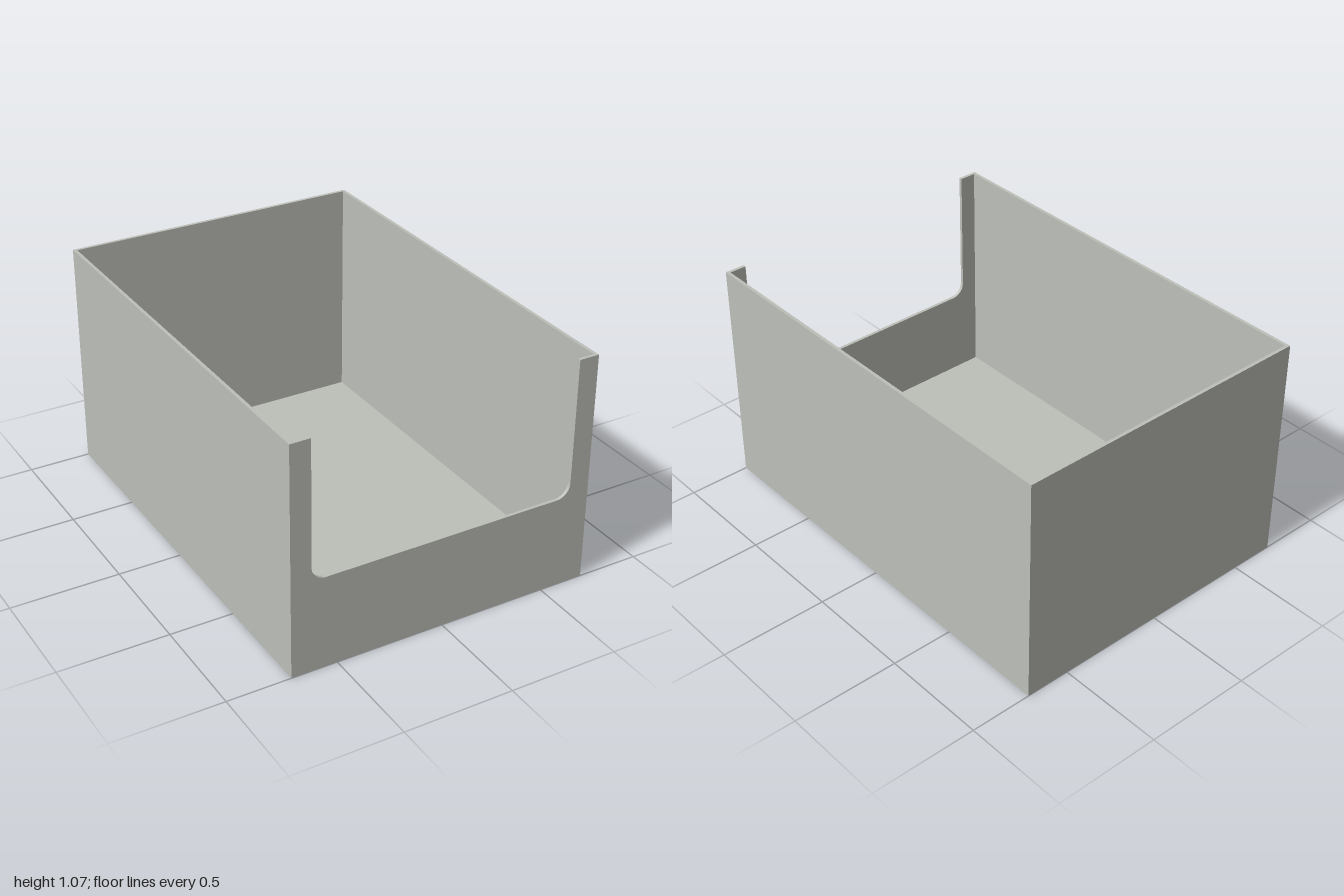
import * as THREE from 'three';

const W = 1.42, H = 1.07, D = 2; // overall size
const T = 0.015;                 // wall thickness
const B = 0.02;                  // base thickness

export function createModel() {
  const group = new THREE.Group();
  const grey = new THREE.MeshStandardMaterial({ color: 0xbdbfb9 });
  grey.name = 'light grey';

  const add = (name, geometry, x, y, z) => {
    const mesh = new THREE.Mesh(geometry, grey);
    mesh.name = name;
    mesh.position.set(x, y, z);
    group.add(mesh);
  };

  const wallH = H - B, wallY = B + wallH / 2;

  // Flat base under all four walls
  add('base', new THREE.BoxGeometry(W, B, D), 0, B / 2, 0);

  // Side walls run from the back edge to the front panel
  for (const [name, s] of [['leftWall', 1], ['rightWall', -1]]) {
    add(name, new THREE.BoxGeometry(T, wallH, D - T), s * (W - T) / 2, wallY, -T / 2);
  }

  // Back wall sits between the sides
  add('backWall', new THREE.BoxGeometry(W - 2 * T, wallH, T), 0, wallY, -(D - T) / 2);

  // Front panel with a wide round-cornered opening at the top
  const w = W / 2, c = 0.617, low = 0.43, r = 0.065;
  const front = new THREE.Shape();
  front.moveTo(-w, B);
  front.lineTo(w, B);
  front.lineTo(w, H);
  front.lineTo(c, H);
  front.lineTo(c, low + r);
  front.absarc(c - r, low + r, r, 0, -Math.PI / 2, true);
  front.lineTo(-c + r, low);
  front.absarc(-c + r, low + r, r, -Math.PI / 2, -Math.PI, true);
  front.lineTo(-c, H);
  front.lineTo(-w, H);
  front.closePath();
  add('frontPanel', new THREE.ExtrudeGeometry(front, { depth: T, bevelEnabled: false, curveSegments: 12 }), 0, 0, D / 2 - T);

  return group;
}
